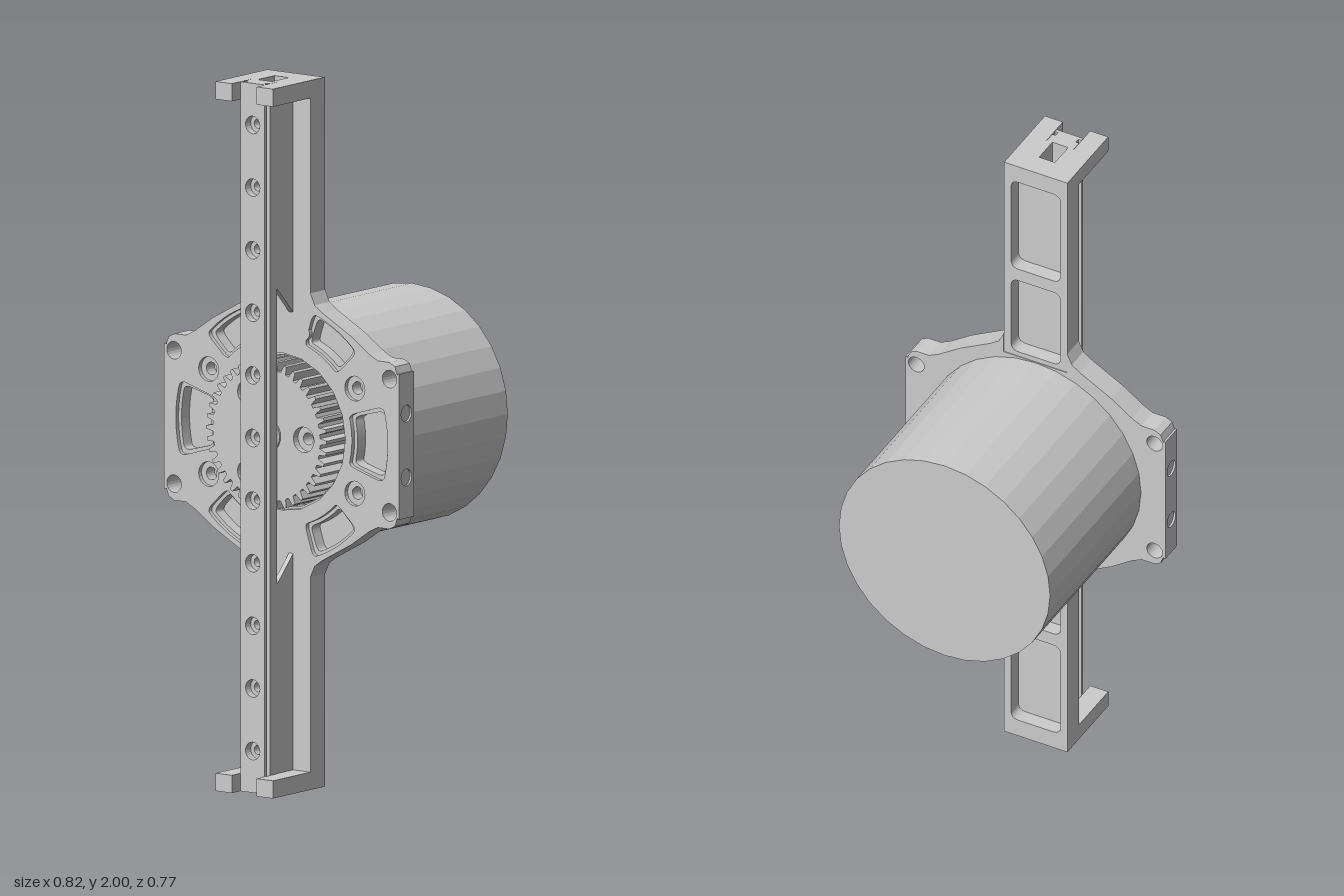
import * as THREE from 'three';

const material = new THREE.MeshStandardMaterial({ color: 0xcccccc, flatShading: true });
const V = (x, y) => new THREE.Vector2(x, y);
const polar = (r, a) => V(r * Math.cos(a), r * Math.sin(a));
const rad = THREE.MathUtils.degToRad;

// closed outline with every corner rounded by up to r
function rounded(points, r, Type = THREE.Path) {
  const path = new Type(), n = points.length;
  points.forEach((p, i) => {
    const a = points[(i + n - 1) % n], b = points[(i + 1) % n];
    const toward = q => p.clone().lerp(q, Math.min(r / p.distanceTo(q), 0.5));
    const s = toward(a), e = toward(b);
    if (i) path.lineTo(s.x, s.y); else path.moveTo(s.x, s.y);
    path.quadraticCurveTo(p.x, p.y, e.x, e.y);
  });
  path.closePath();
  return path;
}
const rect = (x0, y0, x1, y1) => [V(x0, y0), V(x1, y0), V(x1, y1), V(x0, y1)];
const circle = (x, y, r) => new THREE.Path().absarc(x, y, r, 0, Math.PI * 2);

function extrude(points, holes, depth) {
  const shape = points.isShape ? points : new THREE.Shape(points);
  shape.holes.push(...holes);
  return new THREE.ExtrudeGeometry(shape, { depth, bevelEnabled: false, curveSegments: 10 });
}
function add(group, name, geometry) {
  const mesh = new THREE.Mesh(geometry, material);
  mesh.name = name;
  group.add(mesh);
  return mesh;
}
// slab parallel to the front, from z0 to z1
const slab = (group, name, points, holes, z0, z1) =>
  add(group, name, extrude(points, holes, z1 - z0).translate(0, 0, z0));

// curved window between two radii, grown by g
function sector(mid, half, r0, r1, g) {
  const pts = [], h = half + g / 0.31;
  for (let i = 0; i <= 6; i++) pts.push(polar(r1 + g, mid - h + h * i / 3));
  for (let i = 6; i >= 0; i--) pts.push(polar(r0 - g, mid - h + h * i / 3));
  return rounded(pts, 0.025);
}

function mountingPlate() {
  const g = new THREE.Group();
  g.name = 'mountingPlate';
  const quarter = [[0.404, 0.2], [0.395, 0.225], [0.375, 0.235], [0.335, 0.235], [0.305, 0.25],
    [0.24, 0.295], [0.14, 0.35], [0.115, 0.368], [0.1, 0.4], [0.1, 0.335]].map(p => V(...p));
  const flip = (sx, sy) => quarter.map(p => V(p.x * sx, p.y * sy));
  const outline = [...quarter, ...flip(-1, 1).reverse(), ...flip(-1, -1), ...flip(1, -1).reverse()];
  const four = (x, y, r) => [[1, 1], [-1, 1], [-1, -1], [1, -1]].map(([a, b]) => circle(a * x, b * y, r));
  const windows = grow => [0, 58, 122, 180, 238, 302].map(a =>
    a % 180 ? sector(rad(a), rad(12.5), 0.275, 0.35, grow) : sector(rad(a), rad(15), 0.255, 0.36, grow));
  const corners = () => four(0.376, 0.188, 0.025);

  slab(g, 'plateFloor', outline, corners(), 0.145, 0.163);
  slab(g, 'plateBody', outline,
    [...corners(), ...windows(0), ...four(0.255, 0.148, 0.018), circle(0, 0, 0.215)], 0.163, 0.2);
  slab(g, 'plateFace', outline,
    [...corners(), ...windows(0.01), ...four(0.255, 0.148, 0.035), circle(0, 0, 0.222)], 0.2, 0.213);

  // drilled side faces
  for (const s of [1, -1]) {
    const side = extrude(rect(0.145, -0.205, 0.213, 0.205),
      [circle(0.18, 0.09, 0.024), circle(0.18, -0.09, 0.024)], 0.006);
    side.rotateY(-Math.PI / 2).translate(s > 0 ? 0.41 : -0.404, 0, 0);
    add(g, 'drilledSide', side);
    // locating pin in one upper and one lower window
    const pin = new THREE.CylinderGeometry(0.02, 0.02, 0.05, 20).rotateX(Math.PI / 2);
    add(g, 'locatingPin', pin.translate(s * 0.077, s * 0.285, 0.188));
  }
  return g;
}

function arm() {
  const g = new THREE.Group();
  g.name = 'arm';
  const w = 0.1;
  // channel with two pockets open to the back
  slab(g, 'armFrame', rect(-w, 0.33, w, 0.95),
    [rounded(rect(-0.078, 0.35, 0.078, 0.6), 0.025), rounded(rect(-0.078, 0.64, 0.078, 0.95 - 0.005), 0.025)],
    0.147, 0.19);
  slab(g, 'armSkin', rect(-w, 0.33, w, 0.95), [], 0.19, 0.213);

  // twin webs holding the rail, sloped at the inner end
  for (const x of [0.04, -0.025]) {
    const web = extrude([V(0.213, 0.34), V(0.29, 0.42), V(0.29, 0.95), V(0.213, 0.95)], [], 0.015);
    add(g, 'railWeb', web.rotateY(-Math.PI / 2).translate(x, 0, 0));
  }

  // slotted end cap with two forward prongs
  const half = [[0.1, 0.147], [0.1, 0.385], [0.043, 0.385], [0.043, 0.29], [0.025, 0.29], [0.025, 0.213]];
  const cap = [...half.map(p => V(...p)), ...half.map(([x, z]) => V(-x, z)).reverse()];
  add(g, 'endCap', extrude(cap, [], 0.05).rotateX(Math.PI / 2).translate(0, 1, 0));
  return g;
}

function rail() {
  const g = new THREE.Group();
  g.name = 'rail';
  const holes = r => Array.from({ length: 11 }, (_, i) => circle(0, (i - 5) * 0.1765, r));
  const layer = (name, w, r, z0, z1) => slab(g, name, rect(-w, -1, w, 1), holes(r), z0, z1);
  layer('railBase', 0.042, 0.013, 0.29, 0.322);
  layer('railGroove', 0.032, 0.025, 0.322, 0.336);
  layer('railFace', 0.042, 0.025, 0.336, 0.346);
  return g;
}

function gear() {
  const g = new THREE.Group();
  g.name = 'gear';
  const teeth = 40, outline = [];
  for (let i = 0; i < teeth; i++) {
    [[-0.32, 0.187], [-0.14, 0.21], [0.14, 0.21], [0.32, 0.187]].forEach(([o, r]) =>
      outline.push(polar(r, (i + o) / teeth * Math.PI * 2)));
  }
  const bolts = r => [0, 120, 240].map(a => polar(0.13, rad(a))).map(p => circle(p.x, p.y, r));
  slab(g, 'gearBody', outline, bolts(0.017), 0.165, 0.262);
  slab(g, 'gearFace', outline, bolts(0.036), 0.262, 0.283);
  add(g, 'gearHub', new THREE.CylinderGeometry(0.05, 0.05, 0.03, 24).rotateX(Math.PI / 2).translate(0, 0, 0.274));
  return g;
}

export function createModel() {
  const model = new THREE.Group();
  model.name = 'motorDrivenRail';
  const body = new THREE.Group();
  body.name = 'body';
  body.position.y = 1;
  model.add(body);

  add(body, 'motor', new THREE.CylinderGeometry(0.333, 0.333, 0.53, 32).rotateX(Math.PI / 2).translate(0, 0, -0.12));
  const upper = arm(), lower = arm();
  upper.name = 'upperArm';
  lower.name = 'lowerArm';
  lower.rotation.z = Math.PI;
  body.add(mountingPlate(), upper, lower, rail(), gear());
  return model;
}
